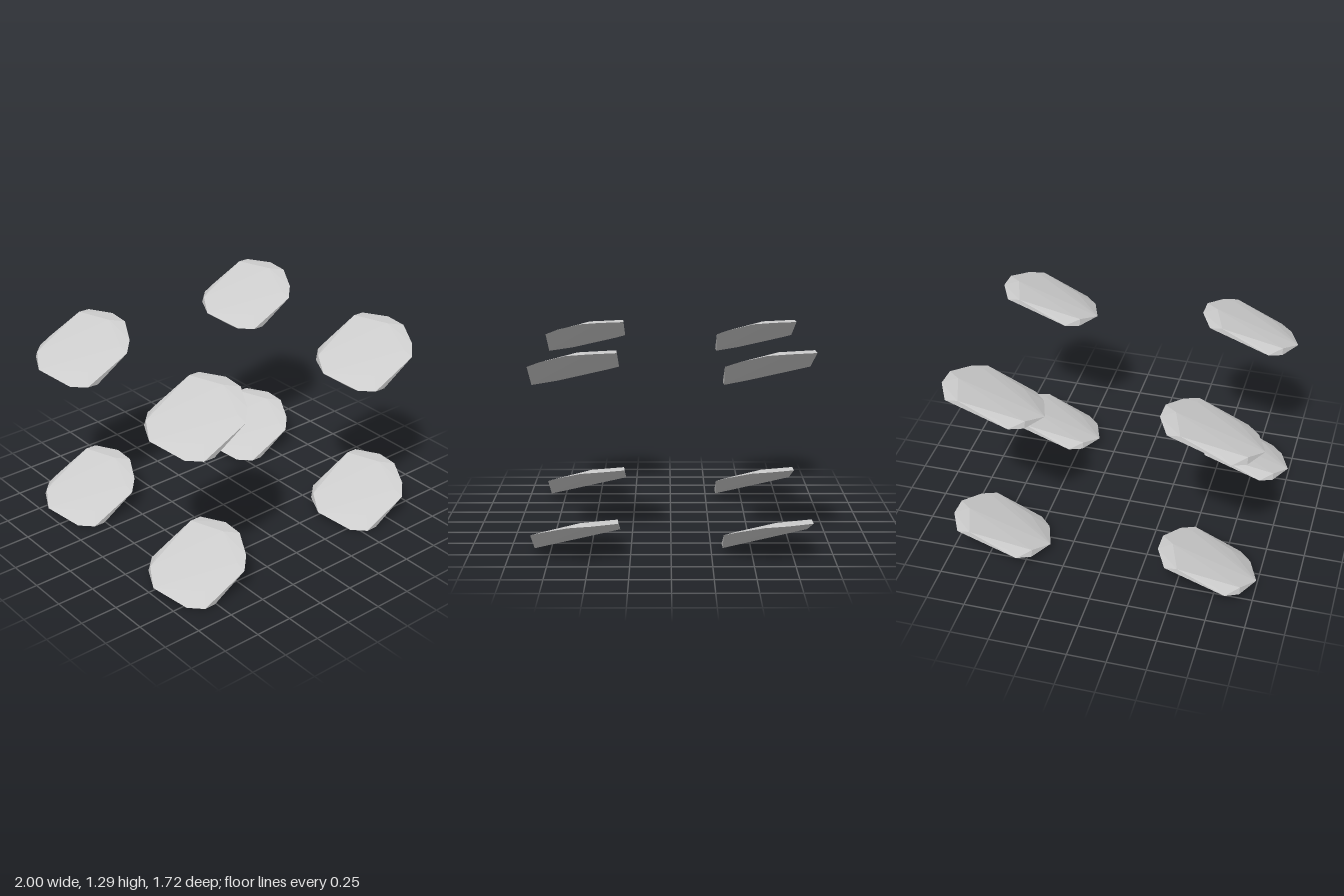
import * as THREE from 'three';
import { ConvexGeometry } from 'three/addons/geometries/ConvexGeometry.js';

// Corners of one tilted, faceted pebble, centred in x and z
const RIM = [
  [-0.155, 0.10, -0.27], [0.235, 0.245, -0.27],
  [0.315, 0.25, -0.11], [0.315, 0.24, 0.03], [0.235, 0.19, 0.19],
  [0.155, 0.15, 0.27], [-0.155, 0.005, 0.27], [-0.235, 0.005, 0.19],
  [-0.315, 0.06, -0.04], [-0.235, 0.07, -0.20],
];
const TOP = [
  [-0.235, 0.11, -0.18], [-0.085, 0.15, -0.255], [0.155, 0.25, -0.265],
  [0.235, 0.25, -0.04], [0.155, 0.17, 0.20], [-0.10, 0.07, 0.20],
];
const BOTTOM = [[-0.075, 0, 0.265], [-0.235, 0, 0.11]];

export function createModel() {
  const group = new THREE.Group();
  const material = new THREE.MeshStandardMaterial({ color: 0xcccccc, flatShading: true });
  const geometry = new ConvexGeometry(
    [...RIM, ...TOP, ...BOTTOM].map((p) => new THREE.Vector3(...p)));

  // Eight equal pebbles at the corners of a box
  for (const y of [0, 1.04])
    for (const x of [-0.685, 0.685])
      for (const z of [-0.59, 0.59]) {
        const pebble = new THREE.Mesh(geometry, material);
        pebble.name = `${y ? 'upper' : 'lower'}${z > 0 ? 'Front' : 'Back'}${x > 0 ? 'Left' : 'Right'}Pebble`;
        pebble.position.set(x, y, z);
        group.add(pebble);
      }
  return group;
}
